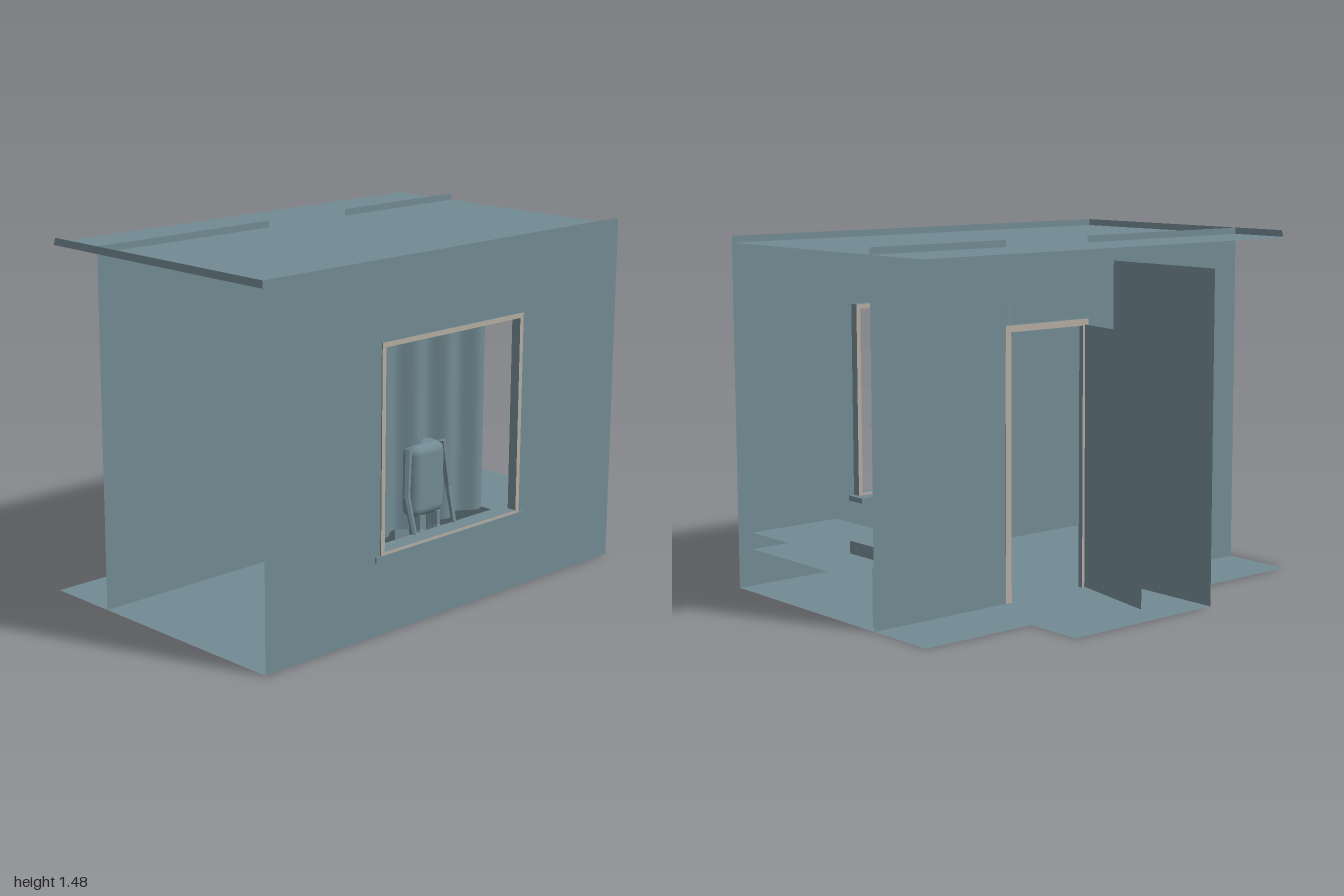
import * as THREE from 'three';
import { RoundedBoxGeometry } from 'three/addons/geometries/RoundedBoxGeometry.js';

export function createModel() {
  const model = new THREE.Group();
  model.name = 'room';
  const slate = new THREE.MeshStandardMaterial({ color: 0x728a93, side: THREE.DoubleSide });
  slate.name = 'slate';
  const beige = new THREE.MeshStandardMaterial({ color: 0xb5aca0 });
  beige.name = 'beige';
  // trim shows beige on its x-facing sides only
  const trim = [beige, beige, slate, slate, slate, slate];

  const add = (name, geometry, material = slate, parent = model) => {
    const mesh = new THREE.Mesh(geometry, material);
    mesh.name = name;
    parent.add(mesh);
    return mesh;
  };
  // box from its minimum and maximum corners
  const box = (name, a, b, material) => {
    const g = new THREE.BoxGeometry(b[0] - a[0], b[1] - a[1], b[2] - a[2]);
    g.translate((a[0] + b[0]) / 2, (a[1] + b[1]) / 2, (a[2] + b[2]) / 2);
    return add(name, g, material);
  };
  // upright thin panel between two floor points [x, z]
  const panel = (name, a, b, y0, y1) => {
    const dx = b[0] - a[0], dz = b[1] - a[1];
    const g = new THREE.PlaneGeometry(Math.hypot(dx, dz), y1 - y0);
    g.rotateY(-Math.atan2(dz, dx));
    g.translate((a[0] + b[0]) / 2, (y0 + y1) / 2, (a[1] + b[1]) / 2);
    return add(name, g);
  };
  const shapeOf = (pts) => new THREE.Shape(pts.map((p) => new THREE.Vector2(...p)));
  // flat sheet from an [x, z] outline
  const sheet = (name, pts, y) =>
    add(name, new THREE.ShapeGeometry(shapeOf(pts)).rotateX(Math.PI / 2).translate(0, y, 0));
  const rect = (x0, z0, x1, z1) => [[x0, z0], [x1, z0], [x1, z1], [x0, z1]];

  // floor with the entrance extension, and the roof with a clipped corner
  sheet('floor', [[-0.51, -1], [0.757, -1], [0.757, 1], [-0.51, 1], [-0.51, 0.26],
    [-0.77, 0.26], [-0.77, -0.48], [-0.51, -0.48]], 0);
  sheet('roof', [[-0.51, -1], [0.757, -1], [0.757, 1], [-0.47, 1], [-0.51, 0.96]], 1.452);
  add('roofFascia', new THREE.ShapeGeometry(
    shapeOf([[-0.47, 1.45], [0.757, 1.45], [0.757, 1.48], [-0.46, 1.48]])).translate(0, 0, 1));

  // wall with the window opening
  const wall = shapeOf(rect(-1, 0, 1, 1.48));
  wall.holes.push(new THREE.Path(rect(-0.395, 0.32, 0.395, 1.155).map((p) => new THREE.Vector2(...p))));
  add('windowWall', new THREE.ShapeGeometry(wall).rotateY(-Math.PI / 2).translate(0.757, 0, 0));

  // window frame and sill
  for (const s of [-1, 1]) {
    const z = s * 0.393;
    box('windowFrameSide', [0.72, 0.32, z - 0.01], [0.762, 1.163, z + 0.01], trim);
  }
  box('windowFrameTop', [0.72, 1.143, -0.403], [0.762, 1.163, 0.403], trim);
  box('windowFrameBottom', [0.72, 0.318, -0.403], [0.762, 0.335, 0.403], trim);
  box('windowSill', [0.66, 0.3, -0.43], [0.765, 0.323, 0.43]);

  // partition wall on both sides of the doorway, entrance side wall, open door
  panel('partitionRear', [-0.19, -1], [-0.19, -0.33], 0, 1.48);
  panel('partitionFront', [-0.19, 0.11], [-0.19, 1], 0, 1.48);
  panel('entranceWall', [-0.77, 0.26], [-0.19, 0.26], 0, 1.37);
  panel('door', [-0.2, 0.09], [-0.635, 0], 0.005, 1.115);
  box('doorPostRear', [-0.192, 0, -0.335], [-0.17, 1.137, -0.305], trim);
  box('doorPostFront', [-0.192, 0, 0.085], [-0.17, 1.137, 0.115], trim);
  box('doorHeader', [-0.192, 1.11, -0.335], [-0.17, 1.137, 0.115], trim);

  // bed with base, mattress sheet and pillow
  sheet('bedTop', rect(-0.14, -0.97, 0.7, -0.54), 0.243);
  sheet('bedBase', rect(-0.14, -0.97, 0.7, -0.54), 0.172);
  panel('bedFrontLower', [-0.14, -0.54], [0.7, -0.54], 0, 0.172);
  panel('bedFrontUpper', [-0.14, -0.54], [0.7, -0.54], 0.172, 0.243);
  panel('bedEnd', [-0.14, -0.97], [-0.14, -0.54], 0, 0.243);
  box('pillow', [-0.085, 0.245, -0.9], [0.1, 0.297, -0.6]);
  // bedside box and small wall plate
  box('bedsideBox', [-0.03, 0, -0.52], [0.175, 0.29, -0.28]);
  box('wallPlate', [-0.11, 0.48, -0.6], [-0.085, 0.61, -0.48]);

  // curtain with four soft folds
  const curtain = new THREE.PlaneGeometry(0.73, 0.815, 64, 1).rotateY(-Math.PI / 2);
  const p = curtain.attributes.position;
  for (let i = 0; i < p.count; i++) {
    p.setX(i, 0.59 + 0.024 * Math.sin((p.getZ(i) + 0.365) / 0.73 * Math.PI * 8));
  }
  curtain.translate(0, 0.728, 0);
  curtain.computeVertexNormals();
  add('curtain', curtain);

  // chair with a padded back, side rails and bent legs
  const chair = new THREE.Group();
  chair.name = 'chair';
  model.add(chair);
  add('chairBack', new RoundedBoxGeometry(0.125, 0.3, 0.19, 2, 0.04).translate(0.585, 0.52, 0.005), slate, chair);
  const bar = (name, a, b, r0, r1) => {
    const from = new THREE.Vector3(...a), to = new THREE.Vector3(...b);
    const dir = to.clone().sub(from);
    const g = new THREE.CylinderGeometry(r1, r0, dir.length(), 6).toNonIndexed();
    g.computeVertexNormals();
    const mesh = add(name, g, slate, chair);
    mesh.position.copy(from).add(to).multiplyScalar(0.5);
    mesh.quaternion.setFromUnitVectors(new THREE.Vector3(0, 1, 0), dir.normalize());
  };
  for (const s of [-1, 1]) {
    bar('sideRailUpper', [0.61, 0.66, s * 0.1], [0.625, 0.47, s * 0.122], 0.017, 0.015);
    bar('sideRailLower', [0.625, 0.47, s * 0.122], [0.67, 0.3, s * 0.115], 0.015, 0.011);
    for (const [hip, knee, foot] of [[0.595, 0.61, 0.54], [0.625, 0.675, 0.645]]) {
      const z = s * 0.05;
      bar('legTop', [hip, 0.38, z], [hip, 0.31, z], 0.018, 0.018);
      bar('legUpper', [hip, 0.32, z], [knee, 0.21, z], 0.018, 0.018);
      bar('legLower', [knee, 0.215, z], [foot, 0.03, z], 0.018, 0.014);
      add('foot', new THREE.BoxGeometry(0.08, 0.035, 0.045).translate(foot, 0.0175, z), slate, chair);
    }
  }
  return model;
}
